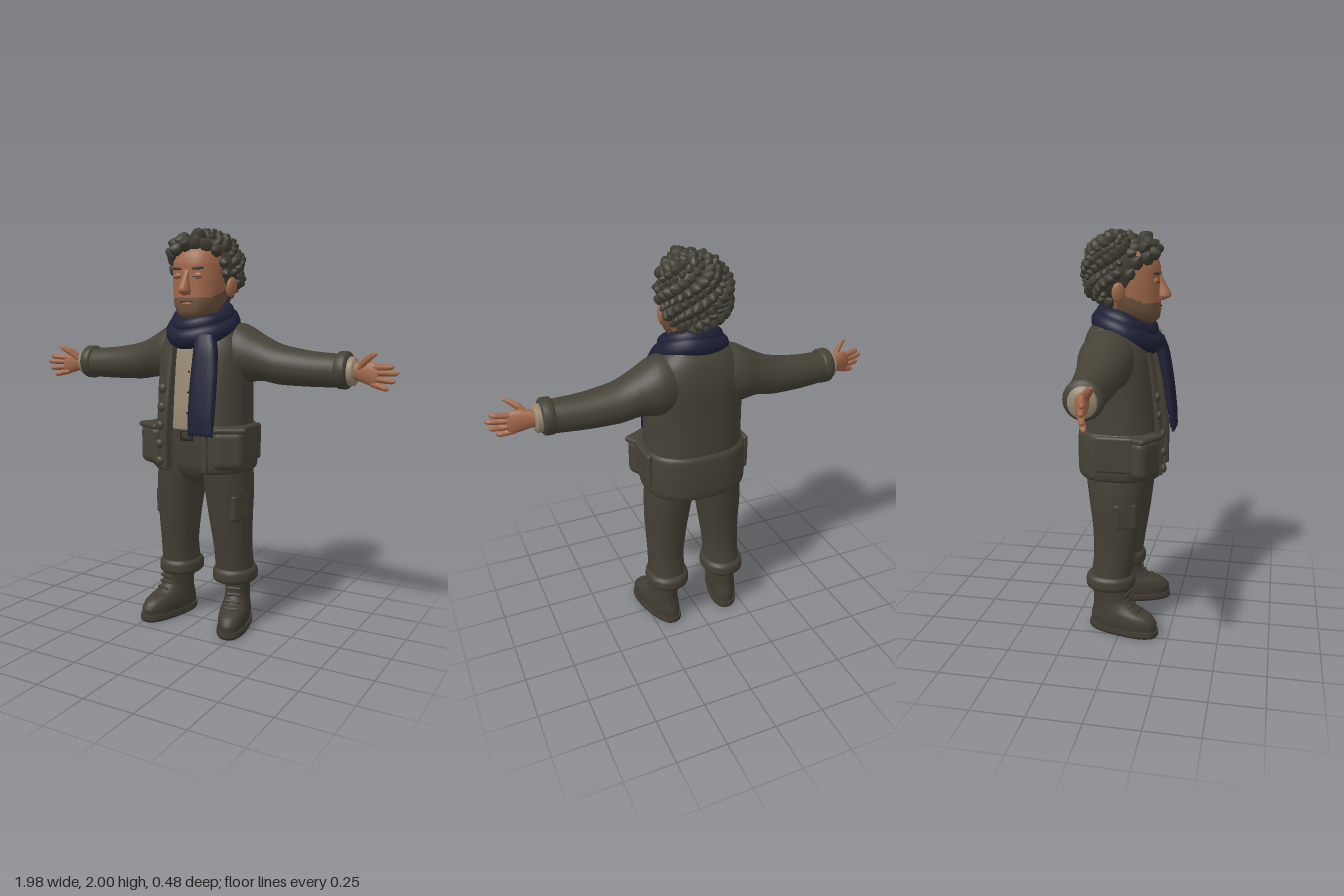
import * as THREE from 'three';
import { mergeGeometries, toCreasedNormals } from 'three/addons/utils/BufferGeometryUtils.js';
import { RoundedBoxGeometry } from 'three/addons/geometries/RoundedBoxGeometry.js';

const mat = (name, color) => Object.assign(new THREE.MeshStandardMaterial({ color }), { name });

// Lofted solid through rows [x, y, z, halfA, halfB], listed in rising order along the axis.
// n is the superellipse power; arc > 0 leaves a front opening and makes a thick shell.
function loft(rows, { axis = 'y', n = 2, seg = 32, steps = 4, arc = 0, thick = 0.9, crease = 0.9 } = {}) {
  const centre = new THREE.CatmullRomCurve3(rows.map(r => new THREE.Vector3(r[0], r[1], r[2])), false, 'catmullrom', 0.4);
  const size = new THREE.CatmullRomCurve3(rows.map(r => new THREE.Vector3(r[3], r[4], 0)), false, 'catmullrom', 0.4);
  const pw = v => Math.sign(v) * Math.abs(v) ** (2 / n);
  const section = [];
  if (arc) {
    const at = (j, k) => { const t = arc + (2 * Math.PI - 2 * arc) * j / seg; return [pw(Math.sin(t)) * k, pw(Math.cos(t)) * k]; };
    for (let j = 0; j <= seg; j++) section.push(at(j, 1));
    for (let j = seg; j >= 0; j--) section.push(at(j, thick));
  } else for (let j = 0; j < seg; j++) {
    const t = 2 * Math.PI * j / seg;
    section.push([pw(Math.sin(t)), pw(Math.cos(t))]);
  }
  const m = section.length, count = (rows.length - 1) * steps, pos = [], idx = [];
  for (let i = 0; i <= count; i++) {
    const c = centre.getPoint(i / count), s = size.getPoint(i / count);
    for (const [u, v] of section) {
      if (axis === 'y') pos.push(c.x + s.x * u, c.y, c.z + s.y * v);
      else pos.push(c.x, c.y + s.x * v, c.z + s.y * u);
    }
  }
  for (let i = 0; i < count; i++) for (let j = 0; j < m; j++) {
    const a = i * m + j, b = i * m + (j + 1) % m;
    idx.push(a, b, b + m, a, b + m, a + m);
  }
  const top = count * m;
  if (arc) for (let j = 0; j < seg; j++) {
    const k = m - 1 - j;
    idx.push(j, k, k - 1, j, k - 1, j + 1, top + j, top + k - 1, top + k, top + j, top + j + 1, top + k - 1);
  } else {
    const e = pos.length / 3, p = centre.getPoint(0), q = centre.getPoint(1);
    pos.push(p.x, p.y, p.z, q.x, q.y, q.z);
    for (let j = 0; j < m; j++) idx.push(e, (j + 1) % m, j, e + 1, top + j, top + (j + 1) % m);
  }
  const g = new THREE.BufferGeometry();
  g.setAttribute('position', new THREE.Float32BufferAttribute(pos, 3));
  g.setIndex(idx);
  return crease ? toCreasedNormals(g, crease) : g;
}

// Mirror a geometry across x = 0, keeping the faces outward.
function mirror(geo) {
  const g = geo.index ? geo.toNonIndexed() : geo.clone();
  for (const key of ['position', 'normal']) {
    const a = g.attributes[key].array;
    for (let i = 0; i < a.length; i += 9) for (let k = 0; k < 3; k++) {
      const s = k === 0 ? -1 : 1, first = a[i + k];
      a[i + k] = s * a[i + 6 + k];
      a[i + 3 + k] *= s;
      a[i + 6 + k] = s * first;
    }
  }
  return g;
}

const box = (w, h, d, r, x, y, z, ry = 0) => new RoundedBoxGeometry(w, h, d, 3, r).rotateY(ry).translate(x, y, z);
const ball = (rx, ry, rz, x, y, z) => new THREE.SphereGeometry(1, 20, 14).scale(rx, ry, rz).translate(x, y, z);

export function createModel() {
  const group = new THREE.Group();
  const coat = mat('coat olive', 0x454136), trouser = mat('trouser olive', 0x443f34), leather = mat('boot leather', 0x413c33);
  const hairMat = mat('hair', 0x403d33), skin = mat('skin', 0xa0684a), stubble = mat('stubble', 0x6d523c);
  const wool = mat('scarf navy', 0x1e2036), linen = mat('shirt linen', 0x978872), dark = mat('dark detail', 0x2b2520);
  const add = (name, geo, material) => {
    const mesh = new THREE.Mesh(geo, material);
    mesh.name = name;
    group.add(mesh);
  };
  const pair = (name, geo, material) => {
    add(name + 'Left', geo, material);
    add(name + 'Right', mirror(geo), material);
  };

  // Boots, toes turned outward
  const boot = g => g.rotateY(0.25).translate(0.17, 0, -0.08);
  pair('bootSole', boot(loft([[0, 0, .1, .07, .18], [0, .01, .1, .077, .187], [0, .035, .1, .076, .186]], { n: 2.4 })), leather);
  pair('boot', boot(loft([[0, .03, .1, .068, .178], [0, .07, .1, .072, .178], [0, .105, .088, .069, .158], [0, .135, .055, .063, .118],
    [0, .17, .035, .059, .098], [0, .22, .03, .059, .096], [0, .27, .03, .06, .096]], { n: 2.3 })), leather);
  for (const [y, z] of [[.125, .185], [.15, .147], [.18, .13], [.21, .126]])
    pair('bootLace', boot(new THREE.CapsuleGeometry(.008, .06, 3, 8).rotateZ(Math.PI / 2).translate(0, y, z)), leather);

  // Trousers with turned-up cuffs and thigh pockets
  pair('trouserLeg', loft([[.16, .27, -.055, .095, .105], [.158, .4, -.035, .092, .105], [.15, .55, -.025, .103, .12],
    [.14, .7, -.025, .115, .14], [.125, .82, -.025, .12, .155], [.11, .95, -.02, .11, .155]], { n: 2.2 }), trouser);
  pair('trouserCuff', loft([[.16, .23, -.055, .098, .113], [.16, .245, -.055, .109, .124], [.16, .285, -.055, .108, .123],
    [.16, .302, -.055, .096, .108]], { n: 2.2 }), trouser);
  pair('thighPocket', box(.06, .14, .12, .02, .216, .63, .028, -.35), trouser);
  add('trouserHips', loft([[0, .74, -.025, .09, .11], [0, .82, -.025, .2, .16], [0, .98, -.02, .2, .165]]), trouser);

  // Shirt, belt and buckle
  add('shirt', loft([[0, .98, -.005, .195, .155], [0, 1.1, -.005, .205, .157], [0, 1.25, -.01, .2, .148], [0, 1.4, -.02, .18, .135],
    [0, 1.52, -.03, .12, .1]]), linen);
  add('shirtPlacket', loft([[0, 1.03, .149, .014, .006], [0, 1.1, .15, .014, .006], [0, 1.25, .137, .014, .006], [0, 1.4, .114, .014, .006]], { n: 4, seg: 12 }), linen);
  for (const y of [1.1, 1.2, 1.3]) add('shirtButton', ball(.006, .006, .004, 0, y, .157 - (y - 1.1) * .09), dark);
  add('belt', loft([[0, .965, -.01, .203, .17], [0, 1.015, -.01, .203, .17]], { steps: 1 }), leather);
  add('beltBuckle', box(.07, .055, .014, .006, 0, .99, .163), dark);
  add('buckleBar', box(.044, .03, .008, .003, 0, .99, .169), leather);

  // Open jacket, wide lower panel, pockets and buttons
  add('jacketBody', loft([[0, .82, -.02, .245, .2], [0, .95, -.02, .25, .2], [0, 1.1, -.023, .242, .196], [0, 1.25, -.03, .24, .188],
    [0, 1.4, -.04, .238, .176], [0, 1.5, -.048, .2, .145], [0, 1.57, -.05, .13, .1]], { n: 2.4, arc: .33, seg: 56 }), coat);
  add('jacketSkirt', loft([[0, .808, -.02, .25, .208], [0, .83, -.02, .264, .218], [0, .93, -.02, .267, .22], [0, 1.02, -.02, .262, .217],
    [0, 1.042, -.02, .25, .207]], { n: 2.4, arc: .33, seg: 56, thick: .88 }), coat);
  pair('jacketEdge', loft([[.112, .82, .178, .018, .02], [.112, 1, .176, .018, .02], [.108, 1.2, .156, .018, .018], [.105, 1.42, .12, .018, .018]], { seg: 14 }), coat);
  pair('frontPocket', box(.16, .2, .17, .04, .192, .93, .09, .5), coat);
  pair('pocketFlap', box(.165, .03, .175, .014, .192, 1.025, .09, .5), coat);
  pair('sidePocket', box(.03, .18, .19, .014, .258, .95, -.02), coat);
  for (const [y, z] of [[1.215, .172], [1.125, .182], [1.035, .2], [.945, .205], [.86, .205]])
    add('jacketButton', ball(.023, .023, .014, -.132, y, z), coat);

  // Sleeves and cuffs
  pair('sleeve', loft([[.08, 1.385, -.06, .15, .12], [.2, 1.385, -.065, .146, .136], [.3, 1.365, -.065, .112, .117], [.4, 1.335, -.065, .097, .105],
    [.55, 1.32, -.06, .085, .092], [.7, 1.316, -.048, .078, .08]], { axis: 'x' }), coat);
  pair('sleeveCuff', loft([[.692, 1.32, -.045, .077, .077], [.702, 1.32, -.045, .087, .087], [.738, 1.32, -.043, .087, .087],
    [.75, 1.32, -.043, .077, .077]], { axis: 'x' }), coat);
  pair('shirtCuff', loft([[.73, 1.316, -.042, .066, .062], [.77, 1.316, -.04, .067, .062], [.778, 1.316, -.04, .06, .056]], { axis: 'x' }), linen);

  // Hands with palms forward
  pair('palm', loft([[.75, 1.315, -.04, .038, .035], [.79, 1.318, -.035, .044, .03], [.84, 1.313, -.025, .054, .025], [.88, 1.303, -.015, .052, .018],
    [.897, 1.303, -.012, .038, .01]], { axis: 'x' }), skin);
  for (const [y0, x1, y1] of [[1.338, .968, 1.345], [1.314, .99, 1.317], [1.288, .975, 1.28], [1.264, .945, 1.245]]) {
    const at = (t, r) => [.86 + (x1 - .86) * t, y0 + (y1 - y0) * t, -.018 + .028 * t, r, r];
    pair('finger', loft([at(0, .014), at(.5, .0145), at(.88, .012), at(1, .003)], { axis: 'x', seg: 12 }), skin);
  }
  pair('thumb', loft([[.795, 1.33, -.025, .02, .02], [.83, 1.365, -.005, .022, .018], [.87, 1.39, .02, .016, .013], [.898, 1.403, .032, .004, .004]],
    { axis: 'x', seg: 14 }), skin);

  // Scarf: two tilted coils and a hanging tail with fringe
  for (const [name, rx, rz, y, r, tilt] of [['scarfLowerCoil', .135, .125, 1.515, .052, .44], ['scarfUpperCoil', .115, .11, 1.562, .043, .4]]) {
    const pts = [];
    for (let i = 0; i < 16; i++) {
      const t = i * Math.PI / 8, z = rz * Math.cos(t);
      pts.push(new THREE.Vector3(rx * Math.sin(t), y - z * tilt + .006 * Math.sin(3 * t), z));
    }
    add(name, new THREE.TubeGeometry(new THREE.CatmullRomCurve3(pts, true), 64, r, 14, true), wool);
  }
  add('scarfTail', loft([[.11, 1.02, .222, .068, .015], [.11, 1.1, .213, .07, .021], [.11, 1.25, .193, .07, .024], [.105, 1.4, .162, .062, .03],
    [.09, 1.48, .135, .05, .03]], { n: 3 }), wool);
  for (let i = 0; i < 9; i++) add('scarfFringe', box(.011, .03, .016, .004, .05 + i * .015, 1.014 + (i % 2) * .004, .224), wool);

  // Head, with the stubbled jaw as a second material
  const head = loft([[0, 1.555, .07, .05, .06], [0, 1.575, .06, .085, .095], [0, 1.62, .04, .112, .122], [0, 1.68, .02, .125, .14],
    [0, 1.75, .015, .13, .145], [0, 1.82, .012, .128, .147], [0, 1.88, 0, .115, .135], [0, 1.93, -.02, .07, .09]], { n: 2.3, seg: 72, steps: 7, crease: 0 });
  const faces = [[], []], p = head.attributes.position, ix = head.index.array;
  for (let i = 0; i < ix.length; i += 3) {
    const f = [ix[i], ix[i + 1], ix[i + 2]];
    const mean = get => f.reduce((s, v) => s + get(v), 0) / 3;
    const y = mean(v => p.getY(v)), z = mean(v => p.getZ(v));
    faces[z > -.03 && y < 1.655 + Math.max(0, .1 - z) * .4 ? 1 : 0].push(...f);
  }
  head.setIndex(faces.flat());
  head.addGroup(0, faces[0].length, 0);
  head.addGroup(faces[0].length, faces[1].length, 1);
  add('head', toCreasedNormals(head, 0.9), [skin, stubble]);
  add('neck', new THREE.CylinderGeometry(.075, .085, .16, 24).translate(0, 1.54, -.01), skin);
  add('nose', loft([[0, 1.664, .165, .018, .014], [0, 1.68, .177, .028, .034], [0, 1.702, .176, .024, .034], [0, 1.74, .165, .016, .022],
    [0, 1.785, .153, .012, .01]], { seg: 20 }), skin);
  add('mouth', box(.066, .006, .008, .002, 0, 1.634, .161), dark);
  add('lowerLip', ball(.028, .008, .01, 0, 1.624, .159), skin);
  pair('eyelid', ball(.026, .017, .012, .052, 1.755, .147), skin);
  pair('eyeLine', box(.04, .005, .008, .002, .052, 1.75, .156, .18), dark);
  pair('eyebrow', new THREE.CapsuleGeometry(.007, .045, 3, 8).rotateZ(1.65).rotateY(.22).translate(.055, 1.79, .15), hairMat);
  pair('ear', ball(.017, .048, .032, 0, 0, 0).rotateY(-.35).rotateZ(-.12).translate(.15, 1.705, -.015), skin);

  // Curly hair: a cap covered in bent, pointed locks
  const lock = new THREE.SphereGeometry(1, 8, 7), lp = lock.attributes.position;
  for (let i = 0; i < lp.count; i++) {
    const y = lp.getY(i), k = 1 - .35 * Math.max(0, y);
    lp.setXYZ(i, lp.getX(i) * k + .5 * Math.max(0, y) ** 2, y, lp.getZ(i) * k);
  }
  lock.computeVertexNormals();
  const hair = [ball(.165, .172, .153, 0, 1.8, -.05)], up = new THREE.Vector3(0, 1, 0);
  const addLock = (pos, dir, r, spin) => {
    const q = new THREE.Quaternion().setFromUnitVectors(up, dir).multiply(new THREE.Quaternion().setFromAxisAngle(up, spin));
    hair.push(lock.clone().applyMatrix4(new THREE.Matrix4().compose(pos, q, new THREE.Vector3(r, r * .95, r))));
  };
  for (let i = 0; i < 210; i++) {
    const y = 1 - 2 * (i + .5) / 210, t = i * 2.39996, s = Math.sqrt(1 - y * y);
    const d = new THREE.Vector3(s * Math.sin(t), y, s * Math.cos(t));
    if ((d.z > .3 && y < .5) || (d.z > -.1 && y < -.2) || y < -.88) continue;
    const low = y < 0 ? 1 - y * .08 : 1;
    addLock(new THREE.Vector3(d.x * .166 * low, 1.8 + y * .17, -.05 + d.z * .154 * low), d, .025 + .007 * Math.sin(i * 7.3), i * 1.9);
  }
  for (const [x, y, z, r] of [[-.13, 1.84, .07, .034], [-.1, 1.865, .115, .038], [-.065, 1.885, .14, .036], [-.02, 1.905, .135, .04], [.03, 1.91, .12, .038],
    [.075, 1.9, .105, .036], [.115, 1.875, .075, .034], [-.05, 1.93, .11, .04], [.02, 1.945, .085, .042], [-.095, 1.91, .1, .036],
    [.14, 1.82, .045, .028], [-.145, 1.79, .04, .028], [.142, 1.77, .03, .024]])
    addLock(new THREE.Vector3(x, y, z), new THREE.Vector3(x * 2, .12, .3).normalize(), r, x * 40);
  add('hair', mergeGeometries(hair), hairMat);

  return group;
}
